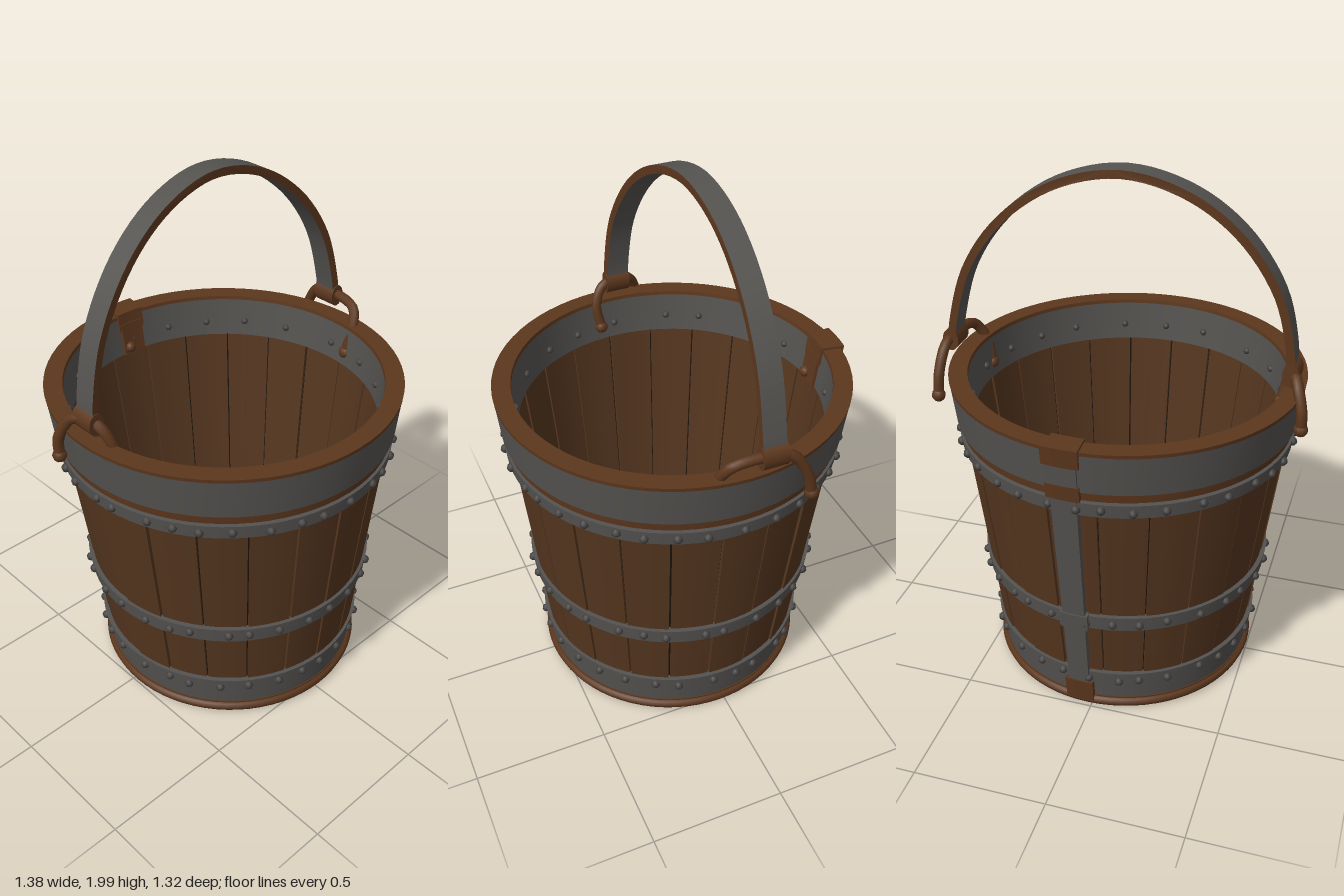
import * as THREE from 'three';
import { mergeGeometries, toCreasedNormals } from 'three/addons/utils/BufferGeometryUtils.js';

const mat = (name, color, side = THREE.FrontSide) => {
  const m = new THREE.MeshStandardMaterial({ color, side });
  m.name = name;
  return m;
};

// the bucket leans slightly: its base is shifted from the rim
const LEAN = new THREE.Matrix4().set(
  1, -0.012, 0, 0.015,
  0, 1, 0, 0,
  0, -0.018, 1, 0.022,
  0, 0, 0, 1);

// outer radius of the staves at a height
const R = (y) => 0.485 + 0.12 * y;

// small repeatable variation in -1..1
const vary = (n) => {
  const s = Math.sin(n * 127.1 + 11.7) * 43758.5453;
  return 2 * (s - Math.floor(s)) - 1;
};

// a box bent round the bucket's axis, following its taper
function bent(angle, width, y0, y1, inner, outer, segs) {
  const g = new THREE.BoxGeometry(1, 1, 1, segs, 1, 1);
  const p = g.attributes.position;
  for (let i = 0; i < p.count; i++) {
    const a = angle + p.getX(i) * width;
    const y = p.getY(i) > 0 ? y1 : y0;
    const r = R(y) + (p.getZ(i) > 0 ? outer : inner);
    p.setXYZ(i, Math.sin(a) * r, y, Math.cos(a) * r);
  }
  g.computeVertexNormals();
  return g;
}

// floor board between two x positions, clipped to a circle
function board(x0, x1, radius, y, thick) {
  const top = [], low = [], n = 8;
  for (let i = 0; i <= n; i++) {
    const x = x0 + (x1 - x0) * i / n;
    const z = Math.sqrt(Math.max(0, radius * radius - x * x));
    top.unshift(new THREE.Vector2(x, z));
    low.push(new THREE.Vector2(x, -z - 0.0005));
  }
  const g = new THREE.ExtrudeGeometry(new THREE.Shape([...low, ...top]), { depth: thick, bevelEnabled: false });
  return g.rotateX(-Math.PI / 2).translate(0, y, 0);
}

export function createModel() {
  const wood = mat('wood', 0x55361f);
  const rust = mat('rust', 0x5c371d);
  const iron = mat('iron', 0x555350);
  const rivetIron = mat('rivetIron', 0x454341);
  const dark = mat('darkGap', 0x1a120c, THREE.DoubleSide);
  const black = mat('blackFloor', 0x0d0d0d);

  const model = new THREE.Group();
  model.name = 'bucket';
  const add = (name, geo, material) => {
    const m = new THREE.Mesh(geo, material);
    m.name = name;
    model.add(m);
    return m;
  };
  const body = (name, geo, material) => add(name, geo.applyMatrix4(LEAN), material);
  const full = Math.PI * 2;

  // staves with narrow gaps and a dark layer inside the gaps
  const count = 21;
  const staves = [];
  for (let i = 0; i < count; i++) {
    const w = full / count - 0.012 + 0.004 * vary(i);
    const d = 0.004 * vary(i + 50);
    staves.push(bent((i + 0.4) * full / count, w, 0.045, 1.225, -0.036 + d, d, 4));
  }
  body('staves', mergeGeometries(staves), wood);
  body('staveGaps', bent(0, full, 0.05, 1.2, -0.024, -0.016, 64), dark);
  body('innerBase', bent(0, full, 0.05, 0.22, -0.05, -0.03, 64), black);

  // hoops: name, bottom, top, inner, outer, material
  const hoops = [
    ['topBand', 1.068, 1.228, -0.01, 0.021, iron],
    ['topBandTrim', 1.03, 1.07, -0.01, 0.012, rust],
    ['upperHoop', 0.968, 1.022, -0.01, 0.02, iron],
    ['middleHoop', 0.42, 0.482, -0.01, 0.014, iron],
    ['lowerHoop', 0.12, 0.182, -0.01, 0.014, iron],
    ['baseBand', 0.04, 0.122, -0.01, 0.008, iron],
    ['innerBand', 1.07, 1.225, -0.046, -0.03, iron],
    ['rim', 1.222, 1.236, -0.047, 0.022, rust],
    ['baseRing', 0.012, 0.05, -0.025, 0.012, rust],
  ];
  for (const [name, y0, y1, inner, outer, m] of hoops) body(name, bent(0, full, y0, y1, inner, outer, 72), m);
  body('baseBead', new THREE.TorusGeometry(0.495, 0.021, 8, 72).rotateX(Math.PI / 2).translate(0, 0.026, 0), rust);

  // rivets round each hoop
  const rivets = (name, n, y, offset, size) => {
    const parts = [];
    for (let i = 0; i < n; i++) {
      const a = (i + 0.2 * vary(i + y * 10)) * full / n;
      const r = R(y) + offset;
      parts.push(new THREE.SphereGeometry(size, 8, 6)
        .translate(Math.sin(a) * r, y + 0.006 * vary(i + 90), Math.cos(a) * r));
    }
    body(name, mergeGeometries(parts), rivetIron);
  };
  rivets('upperRivets', 36, 0.994, 0.021, 0.017);
  rivets('middleRivets', 32, 0.45, 0.015, 0.017);
  rivets('lowerRivets', 30, 0.15, 0.015, 0.017);
  rivets('innerRivets', 20, 1.13, -0.047, 0.014);

  // floor boards with an open slot near each side
  const edges = [[-0.464, -0.38], [-0.355, -0.215], [-0.211, -0.07], [-0.066, 0.075],
    [0.079, 0.22], [0.224, 0.365], [0.392, 0.464]];
  const boards = [], tops = [];
  for (const [x0, x1] of edges) {
    boards.push(board(x0, x1, 0.47, 0.03, 0.03));
    tops.push(board(x0, x1, 0.47, 0.0605, 0.005));
  }
  body('floorBoards', mergeGeometries(boards), wood);
  body('floorTop', mergeGeometries(tops), black);

  // strap up the back, clasped over the rim and under the base
  const back = Math.PI - 0.055;
  body('backStrap', bent(back, 0.15, 0.12, 1.05, -0.005, 0.026, 4), iron);
  body('backStrapUpper', bent(back, 0.17, 1.04, 1.2, 0, 0.03, 4), iron);
  body('strapClaspTop', bent(back, 0.2, 1.17, 1.245, -0.055, 0.034, 4), rust);
  body('strapClaspCollar', bent(back, 0.19, 1.03, 1.09, 0, 0.032, 4), rust);
  body('strapClaspInside', bent(back, 0.17, 1.07, 1.2, -0.058, -0.04, 4), rust);
  body('strapClaspMiddle', bent(back, 0.19, 0.415, 0.487, 0, 0.031, 4), iron);
  body('strapClaspBase', bent(back, 0.21, 0.03, 0.13, 0, 0.03, 4), rust);
  add('strapHook', new THREE.SphereGeometry(0.022, 10, 8).translate(0.01, 1.1, -0.555), rust);

  // handle: flat iron bow with rusty edges
  const bow = new THREE.CatmullRomCurve3([
    [-0.607, 1.28], [-0.598, 1.4], [-0.545, 1.6], [-0.41, 1.8], [-0.23, 1.93], [-0.01, 1.984],
    [0.22, 1.93], [0.425, 1.785], [0.565, 1.59], [0.632, 1.38], [0.648, 1.28],
  ].map(([x, y]) => new THREE.Vector3(x, y, 0)));
  const outer = [], inner = [], half = 0.015;
  for (let i = 0; i <= 56; i++) {
    const p = bow.getPoint(i / 56), t = bow.getTangent(i / 56);
    outer.push(new THREE.Vector2(p.x - t.y * half, p.y + t.x * half));
    inner.unshift(new THREE.Vector2(p.x + t.y * half, p.y - t.x * half));
  }
  const sweep = (x) => -0.083 - 0.0524 * x + 0.0925 * x * x;
  const handle = new THREE.ExtrudeGeometry(new THREE.Shape([...outer, ...inner]), { depth: 0.086, bevelEnabled: false });
  const hp = handle.attributes.position;
  for (let i = 0; i < hp.count; i++) hp.setZ(i, hp.getZ(i) - 0.043 + sweep(hp.getX(i)));
  add('handle', toCreasedNormals(handle, 0.6), [rust, iron]);

  // handle eyes and the hooked rings through the rim
  const rings = [
    ['left', 0.648, [[0.58, 1.12, 0.085], [0.598, 1.21, 0.095], [0.635, 1.285, 0.065], [0.65, 1.305, -0.04],
      [0.66, 1.29, -0.14], [0.668, 1.2, -0.2], [0.668, 1.115, -0.22]]],
    ['right', -0.607, [[-0.56, 1.13, 0.07], [-0.58, 1.22, 0.08], [-0.6, 1.29, 0.045], [-0.612, 1.305, -0.02],
      [-0.635, 1.285, -0.08], [-0.662, 1.2, -0.12], [-0.664, 1.13, -0.12]]],
  ];
  for (const [side, x, pts] of rings) {
    const path = new THREE.CatmullRomCurve3(pts.map((p) => new THREE.Vector3(...p)));
    add(side + 'Ring', new THREE.TubeGeometry(path, 28, 0.02, 8), rust);
    for (const p of [pts[0], pts[pts.length - 1]]) {
      add(side + 'RingEnd', new THREE.SphereGeometry(0.026, 10, 8).translate(...p), rust);
    }
    const eye = new THREE.CylinderGeometry(0.031, 0.031, 0.094, 14).rotateX(Math.PI / 2);
    add(side + 'HandleEye', eye.scale(1, 1.4, 1).translate(x, 1.3, sweep(x)), rust);
  }
  return model;
}
